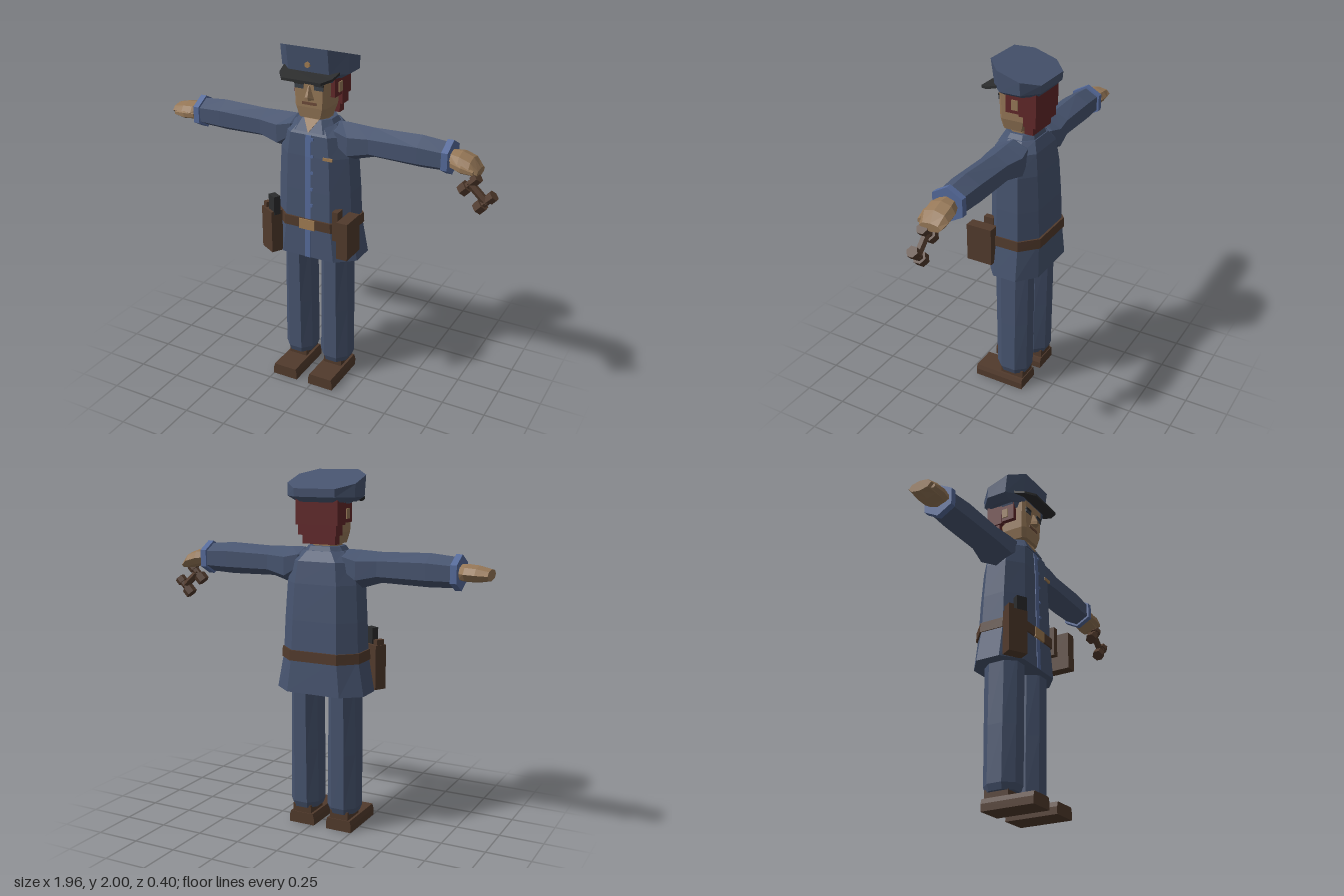
import * as THREE from 'three';

const C = -0.057; // body centre line
const mat = (name, color, side = THREE.FrontSide) => {
  const m = new THREE.MeshStandardMaterial({ color, side, flatShading: true });
  m.name = name;
  return m;
};
const navy = mat('navy cloth', 0x47546f);
const blue = mat('blue trim', 0x556a9a);
const skin = mat('skin', 0x957757);
const brown = mat('brown leather', 0x513a2c);
const hair = mat('red hair', 0x602729);
const black = mat('black', 0x2b2c2d);
const tan = mat('brass', 0xa07c52);
const lip = mat('lip', 0x6b4a38);
const slate = mat('eye slate', 0x3a4048);

// Flat-shaded skin over rings of equal point count, capped at both ends and wound outward
function loft(rings) {
  const n = rings[0].length, tris = [];
  for (let i = 0; i + 1 < rings.length; i++) {
    for (let j = 0; j < n; j++) {
      const k = (j + 1) % n, a = rings[i][j], b = rings[i][k], c = rings[i + 1][k], d = rings[i + 1][j];
      tris.push([a, b, c], [a, c, d]);
    }
  }
  const first = rings[0], last = rings[rings.length - 1];
  for (let j = 1; j + 1 < n; j++) {
    tris.push([first[0], first[j + 1], first[j]], [last[0], last[j], last[j + 1]]);
  }
  const o = new THREE.Vector3(...first[0]);
  let volume = 0;
  for (const t of tris) {
    const [a, b, c] = t.map(p => new THREE.Vector3(...p).sub(o));
    volume += a.dot(b.cross(c));
  }
  if (volume < 0) tris.forEach(t => t.reverse());
  const g = new THREE.BufferGeometry();
  g.setAttribute('position', new THREE.Float32BufferAttribute(tris.flat(2), 3));
  g.computeVertexNormals();
  return g;
}

// Horizontal eight-sided ring; y may depend on z
function oct(y, hw, zf, zb, x = C, kx = 0.6, kz = 0.45) {
  const m = (zf + zb) / 2, h = (zf - zb) / 2;
  const pts = [[kx, 1], [1, kz], [1, -kz], [kx, -1], [-kx, -1], [-1, -kz], [-1, kz], [-kx, 1]];
  return pts.map(([a, b]) => {
    const z = m + b * h;
    return [x + a * hw, typeof y === 'function' ? y(z) : y, z];
  });
}

// Upright ring around the arm axis, a vertex at the top
function armRing(x, y, ry, rz, n = 6, z = -0.025) {
  return Array.from({ length: n }, (_, i) => {
    const t = i / n * Math.PI * 2;
    return [x, y + Math.cos(t) * ry, z + Math.sin(t) * rz];
  });
}

export function createModel() {
  const root = new THREE.Group();
  root.name = 'officer';
  const add = (name, geo, m, parent = root) => {
    const mesh = new THREE.Mesh(geo, m);
    mesh.name = name;
    parent.add(mesh);
    return mesh;
  };
  // Box given by its extents
  const box = (name, m, x0, x1, y0, y1, z0, z1) => {
    const b = add(name, new THREE.BoxGeometry(x1 - x0, y1 - y0, z1 - z0), m);
    b.position.set((x0 + x1) / 2, (y0 + y1) / 2, (z0 + z1) / 2);
    return b;
  };

  // Coat
  const coat = [[0.8, 0.265, 0.12, -0.195], [1.0, 0.228, 0.115, -0.185], [1.2, 0.22, 0.112, -0.178],
    [1.4, 0.208, 0.108, -0.165], [1.52, 0.185, 0.1, -0.15], [1.575, 0.12, 0.065, -0.12]];
  add('coat', loft(coat.map(r => oct(...r))), navy);
  add('collar', loft([oct(1.535, 0.14, 0.098, -0.13), oct(1.6, 0.095, 0.062, -0.105)]), navy);
  const strip = coat.slice(0, 5).map(([y, , zf]) =>
    [[C - 0.017, y, zf], [C + 0.017, y, zf], [C + 0.017, y, zf + 0.004], [C - 0.017, y, zf + 0.004]]);
  add('placket', loft(strip), blue);
  for (let i = 0; i < 5; i++) {
    const b = add('button', new THREE.CylinderGeometry(0.01, 0.01, 0.008, 6), blue);
    b.rotation.x = Math.PI / 2;
    b.position.set(C + 0.024, 1.12 + i * 0.095, 0.117 - i * 0.003);
  }
  box('chestBar', tan, 0.035, 0.09, 1.395, 1.412, 0.104, 0.113);
  const vee = z => [[C - 0.045, 1.602, z - 0.042], [C + 0.045, 1.602, z - 0.042], [C, 1.535, z]];
  add('openNeck', loft([vee(0.1), vee(0.107)]), skin);

  // Belt and gear
  add('belt', loft([oct(0.978, 0.238, 0.125, -0.197), oct(1.035, 0.234, 0.125, -0.195)]), brown);
  box('buckle', tan, C - 0.048, C + 0.048, 0.974, 1.034, 0.12, 0.131);
  const holster = new THREE.Group();
  holster.name = 'holster';
  holster.position.set(-0.288, 0.925, 0.112);
  holster.rotation.y = -Math.PI / 6;
  root.add(holster);
  add('holsterCase', new THREE.BoxGeometry(0.11, 0.25, 0.07), brown, holster);
  add('holsterGrip', new THREE.BoxGeometry(0.06, 0.11, 0.04), black, holster).position.set(0.03, 0.16, 0);
  add('holsterClip', new THREE.BoxGeometry(0.03, 0.05, 0.05), brown, holster).position.set(-0.035, 0.13, 0);
  box('pouch', brown, 0.157, 0.222, 0.873, 1.09, 0.035, 0.188);
  box('slimCase', brown, 0.1, 0.135, 0.943, 1.115, 0.07, 0.13);

  for (const s of [-1, 1]) {
    // Trousers and shoes
    const lx = C + s * 0.117;
    const leg = [[0.1, 0.076, 0.06, -0.11], [0.135, 0.088, 0.072, -0.122], [0.45, 0.085, 0.075, -0.126],
      [0.86, 0.08, 0.08, -0.13]];
    add('trouserLeg', loft(leg.map(([y, w, f, b]) => oct(y, w, f, b, lx, 0.45, 0.45))), navy);
    const sole = [[0, 0.078], [0.04, 0.078], [0.067, 0.07]];
    add('shoe', loft(sole.map(([y, w]) => [[lx - w, y, -0.11], [lx + w, y, -0.11], [lx + w, y, 0.2],
      [lx - w, y, 0.2]])), brown);
    box('shoeAnkle', brown, lx - 0.056, lx + 0.056, 0.06, 0.115, -0.105, 0.04);

    // Sleeve and cuff
    const sleeve = [[0.1, 1.53, 0.035, 0.06], [0.135, 1.515, 0.07, 0.1], [0.215, 1.482, 0.102, 0.115],
      [0.33, 1.497, 0.082, 0.094], [0.6, 1.498, 0.089, 0.092], [0.74, 1.495, 0.08, 0.084]];
    add('sleeve', loft(sleeve.map(([d, ...r]) => armRing(C + s * d, ...r))), navy);
    add('cuff', loft([0.735, 0.77].map(d => armRing(C + s * d, 1.495, 0.094, 0.098))), blue);

    // Hands: one flat, one curled down over the handset
    const hand = s < 0
      ? [[0.76, 1.497, 0.042, 0.055], [0.8, 1.497, 0.046, 0.08], [0.86, 1.495, 0.044, 0.082], [0.925, 1.493, 0.03, 0.07]]
      : [[0.76, 1.497, 0.042, 0.055], [0.82, 1.49, 0.05, 0.08], [0.88, 1.472, 0.046, 0.08], [0.92, 1.445, 0.022, 0.062]];
    add('hand', loft(hand.map(([d, ...r]) => armRing(C + s * d, ...r, 8))), skin);
    const drop = s < 0 ? 0 : 0.025;
    const thumb = [[0.78, 0, 0.022, 0.025, 0.03], [0.84, 0.5, 0.024, 0.022, 0.046], [0.905, 1, 0.014, 0.014, 0.043]];
    add('thumb', loft(thumb.map(([d, k, ry, rz, z]) =>
      armRing(C + s * d, 1.482 - k * drop, ry, rz, 6, z))), skin);

    // Ears, side hair and eyes
    const side = (name, m, a, b, ...r) => box(name, m, C + Math.min(s * a, s * b), C + Math.max(s * a, s * b), ...r);
    side('ear', skin, 0.09, 0.128, 1.745, 1.8, -0.045, -0.008);
    side('sideHair', hair, 0.09, 0.122, 1.725, 1.84, -0.06, 0.03);
    side('eye', slate, 0.032, 0.084, 1.77, 1.79, 0.088, 0.094);
    side('brow', black, 0.03, 0.086, 1.792, 1.802, 0.088, 0.096);
  }

  // Handset: a bar joining two knobbed crosspieces
  const handset = new THREE.Group();
  handset.name = 'handset';
  handset.position.set(0.872, 1.348, 0.018);
  handset.rotation.z = -0.75;
  root.add(handset);
  const rod = (name, r, len, x, y, turn = 0) => {
    const m = add(name, new THREE.CylinderGeometry(r, r, len, 6), brown, handset);
    m.position.set(x, y, 0);
    m.rotation.z = turn;
  };
  rod('handsetBar', 0.022, 0.14, 0, 0, Math.PI / 2);
  for (const x of [-0.06, 0.06]) {
    rod('crosspiece', 0.022, 0.1, x, 0);
    rod('lowerKnob', 0.036, 0.045, x, -0.042);
    rod('upperKnob', 0.031, 0.035, x, 0.042);
  }

  // Neck, head and face
  add('neck', loft([oct(1.52, 0.075, 0.05, -0.08), oct(1.64, 0.075, 0.05, -0.08)]), skin);
  add('head', loft([oct(1.61, 0.078, 0.08, -0.06, C, 0.75, 0.7), oct(1.67, 0.094, 0.088, -0.08, C, 0.8, 0.75),
    oct(1.85, 0.1, 0.09, -0.08, C, 0.85, 0.8)]), skin);
  const nose = [[1.715, 0.034, 0.12], [1.735, 0.027, 0.122], [1.79, 0.009, 0.095]];
  add('nose', loft(nose.map(([y, w, z]) => [[C - w, y, 0.08], [C + w, y, 0.08], [C + w * 0.3, y, z],
    [C - w * 0.3, y, z]])), skin);
  box('mouth', lip, C - 0.042, C + 0.042, 1.685, 1.7, 0.083, 0.092);

  // Stepped hair at the back
  const steps = [[1.715, 1.85, 0.124, -0.15, -0.05], [1.66, 1.715, 0.114, -0.143, -0.07],
    [1.612, 1.66, 0.098, -0.122, -0.07]];
  for (const [y0, y1, w, z0, z1] of steps) box('backHair', hair, C - w, C + w, y0, y1, z0, z1);

  // Peaked cap with a top sloping to the back
  const slope = z => 1.907 + (z + 0.175) * 0.32;
  add('cap', loft([oct(1.835, 0.155, 0.085, -0.152), oct(1.862, 0.2, 0.095, -0.175),
    oct(slope, 0.202, 0.115, -0.178)]), navy);
  add('capBand', loft([oct(1.805, 0.116, 0.075, -0.12), oct(1.85, 0.13, 0.085, -0.13)]), navy);
  const peak = (dy) => [[C - 0.165, 1.862, 0.06], [C + 0.165, 1.862, 0.06], [C + 0.155, 1.842, 0.125],
    [C + 0.115, 1.828, 0.177], [C - 0.115, 1.828, 0.177], [C - 0.155, 1.842, 0.125]]
    .map(([x, y, z]) => [x, y + dy, z]);
  add('capPeak', loft([peak(0), peak(0.014)]), black);
  const badge = add('capBadge', new THREE.CylinderGeometry(0.017, 0.017, 0.012, 6), tan);
  badge.rotation.x = Math.PI / 2;
  badge.position.set(C, 1.905, 0.104);

  return root;
}
